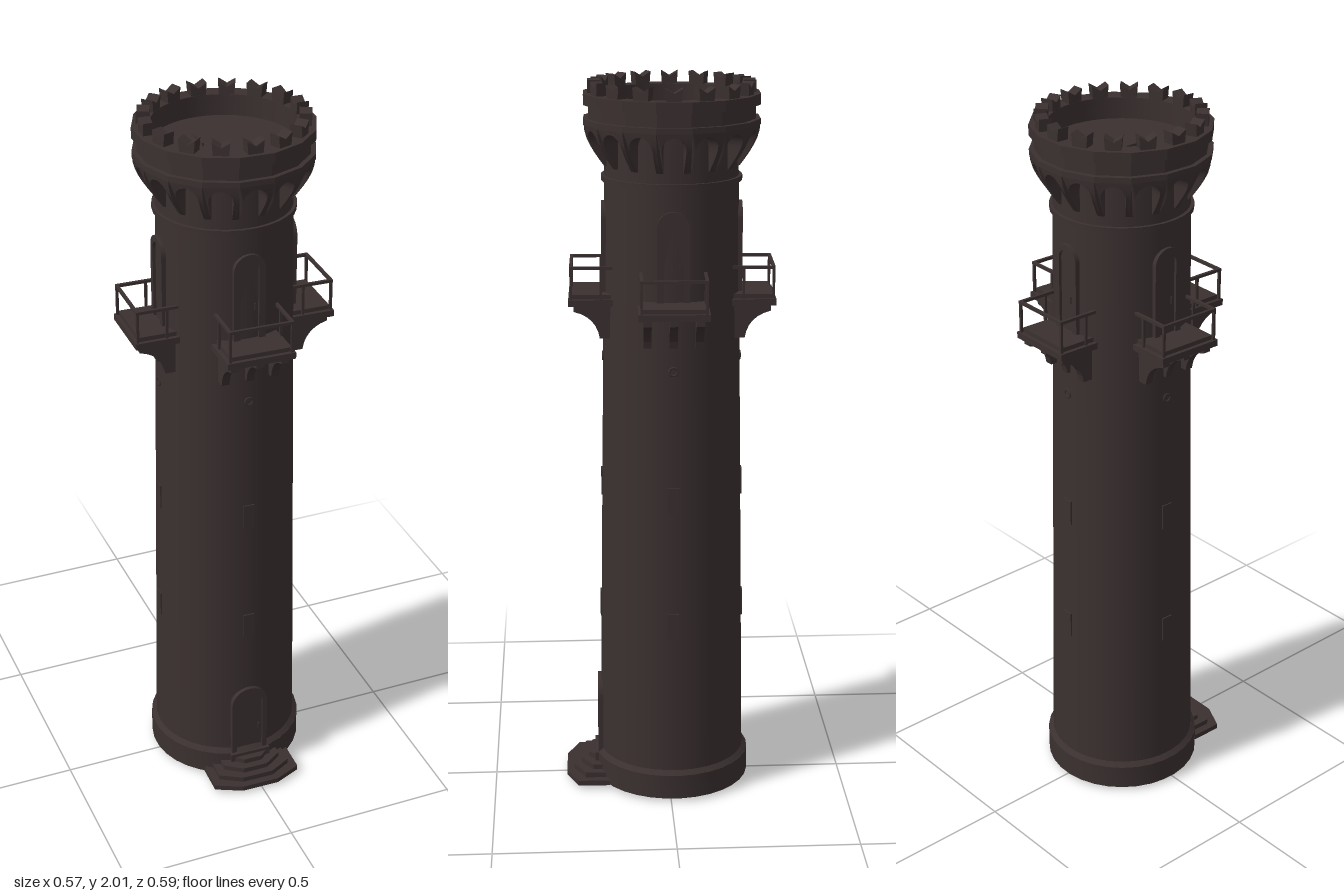
import * as THREE from 'three';
import { toCreasedNormals } from 'three/addons/utils/BufferGeometryUtils.js';

const stone = new THREE.MeshStandardMaterial({ color: 0x3b3030, side: THREE.DoubleSide });
stone.name = 'dark stone';

const SIDES = 16;
const STEP = (Math.PI * 2) / SIDES;
const shaftRadius = (y) => 0.207 - 0.0145 * y;

function add(parent, name, geometry, x = 0, y = 0, z = 0) {
  const mesh = new THREE.Mesh(geometry, stone);
  mesh.name = name;
  mesh.position.set(x, y, z);
  parent.add(mesh);
  return mesh;
}

const box = (w, h, d) => new THREE.BoxGeometry(w, h, d);

// Flat outline in x and z raised from y0 to y1
function slab(shape, y0, y1) {
  const g = new THREE.ExtrudeGeometry(shape, { depth: y1 - y0, bevelEnabled: false, curveSegments: 32 });
  return g.rotateX(Math.PI / 2).translate(0, y1, 0);
}

// Polygonal ring with a round hole; the flats face the axes
function ring(apothem, hole, y0, y1, sides = SIDES) {
  const r = apothem / Math.cos(Math.PI / sides);
  const pts = [];
  for (let i = 0; i < sides; i++) {
    const a = ((i + 0.5) / sides) * Math.PI * 2;
    pts.push(new THREE.Vector2(r * Math.cos(a), r * Math.sin(a)));
  }
  const shape = new THREE.Shape(pts);
  shape.holes.push(new THREE.Path().absarc(0, 0, hole, 0, Math.PI * 2, true));
  return toCreasedNormals(slab(shape, y0, y1), 0.3);
}

// Round-headed outline standing on y = 0
function archPath(w, h, PathType = THREE.Shape) {
  const p = new PathType();
  p.moveTo(-w / 2, 0);
  p.lineTo(w / 2, 0);
  p.lineTo(w / 2, h - w / 2);
  p.absarc(0, h - w / 2, w / 2, 0, Math.PI, false);
  p.lineTo(-w / 2, 0);
  return p;
}

// Arched frame with a door leaf set behind its front
function archedDoor(parent, name, y, w, h, rim, front) {
  const frame = archPath(w, h);
  frame.holes.push(archPath(w - rim * 2, h - rim, THREE.Path));
  const opts = { depth: 0.03, bevelEnabled: false, curveSegments: 10 };
  add(parent, name + 'Frame', new THREE.ExtrudeGeometry(frame, opts), 0, y, front - 0.03);
  const leaf = new THREE.ExtrudeGeometry(archPath(w - rim * 2, h - rim), opts);
  add(parent, name + 'Leaf', leaf, 0, y, front - 0.038);
  add(parent, name + 'Handle', box(0.004, 0.02, 0.006), w / 2 - rim - 0.01, y + h * 0.4, front - 0.006);
}

function balcony() {
  const g = new THREE.Group();
  g.name = 'balcony';
  add(g, 'balconySlab', box(0.19, 0.018, 0.13), 0, 1.411, 0.2165);
  add(g, 'balconyFloor', box(0.168, 0.012, 0.119), 0, 1.426, 0.211);
  // curved brackets
  const s = new THREE.Shape();
  s.moveTo(0.16, 1.405);
  s.lineTo(0.16, 1.31);
  s.lineTo(0.197, 1.31);
  s.quadraticCurveTo(0.205, 1.37, 0.268, 1.385);
  s.lineTo(0.268, 1.405);
  for (const x of [-0.07, 0, 0.07]) {
    const b = new THREE.ExtrudeGeometry(s, { depth: 0.022, bevelEnabled: false, curveSegments: 6 });
    b.translate(0, 0, -0.011).rotateY(-Math.PI / 2);
    add(g, 'balconyBracket', b, x);
  }
  // railing
  for (const x of [-0.086, 0.086]) {
    for (const z of [0.193, 0.274]) add(g, 'railPost', box(0.007, 0.09, 0.007), x, 1.465, z);
    add(g, 'sideRail', box(0.008, 0.008, 0.118), x, 1.506, 0.219);
  }
  add(g, 'frontRail', box(0.18, 0.008, 0.008), 0, 1.506, 0.274);
  return g;
}

// Flared crown panel with an arched recess, bent to the flare by height
function crownPanel() {
  const y0 = 1.775, y1 = 1.89, R = 0.235;
  const half = R * Math.tan(STEP / 2), leg = 0.27 * half;
  const flare = (y) => {
    const t = THREE.MathUtils.clamp((y - y0) / (y1 - y0), 0, 1);
    return 0.182 + (R - 0.182) * Math.sin((t * Math.PI) / 2);
  };
  const s = new THREE.Shape();
  const open = half - leg, spring = 1.838;
  s.moveTo(half, y0);
  for (let i = 1; i <= 6; i++) s.lineTo(half, y0 + ((y1 - y0) * i) / 6);
  for (let i = 6; i >= 0; i--) s.lineTo(-half, y0 + ((y1 - y0) * i) / 6);
  for (let i = 0; i <= 4; i++) s.lineTo(-open, y0 + ((spring - y0) * i) / 4);
  for (let i = 1; i < 8; i++) {
    const a = Math.PI * (1 - i / 8);
    s.lineTo(open * Math.cos(a), spring + 0.036 * Math.sin(a));
  }
  for (let i = 4; i >= 0; i--) s.lineTo(open, y0 + ((spring - y0) * i) / 4);
  const geo = new THREE.ExtrudeGeometry(s, { depth: 1, bevelEnabled: false });
  const p = geo.attributes.position;
  for (let i = 0; i < p.count; i++) {
    const r = p.getZ(i) > 0.5 ? flare(p.getY(i)) : 0.172;
    p.setXYZ(i, (p.getX(i) * r) / R, p.getY(i), r);
  }
  return toCreasedNormals(geo, 0.6);
}

// Battlement block with a notched top
function merlon() {
  const s = new THREE.Shape();
  s.moveTo(-0.02, 0);
  s.lineTo(0.02, 0);
  s.lineTo(0.023, 0.036);
  s.lineTo(0, 0.022);
  s.lineTo(-0.023, 0.036);
  return new THREE.ExtrudeGeometry(s, { depth: 0.033, bevelEnabled: false }).translate(0, 1.964, 0.192);
}

export function createModel() {
  const model = new THREE.Group();
  model.name = 'tower';
  const tower = new THREE.Group();
  tower.name = 'towerBody';
  tower.position.z = -0.0115;
  tower.rotation.y = -0.026;
  model.add(tower);

  // shaft and plinth
  add(tower, 'shaft', new THREE.CylinderGeometry(shaftRadius(1.9), shaftRadius(0), 1.9, 48, 1, true), 0, 0.95, 0);
  add(tower, 'plinth', ring(0.219, 0.2, 0, 0.07, 32));
  add(tower, 'plinthBevel', new THREE.CylinderGeometry(0.206, 0.219, 0.012, 32, 1, true), 0, 0.076, 0);
  add(tower, 'stringCourse', ring(0.19, 0.175, 1.733, 1.747, 32));

  // crown
  add(tower, 'crownLedge', ring(0.236, 0.175, 1.885, 1.9));
  add(tower, 'parapet', ring(0.223, 0.192, 1.9, 1.94));
  add(tower, 'cornice', ring(0.236, 0.192, 1.937, 1.966));
  add(tower, 'roofFloor', new THREE.CylinderGeometry(0.2, 0.2, 0.012, 32), 0, 1.902, 0);
  const panel = crownPanel(), block = merlon();
  for (let i = 0; i < SIDES; i++) {
    add(tower, 'crownArch', panel).rotation.y = i * STEP;
    add(tower, 'merlon', block).rotation.y = i * STEP;
  }

  // roof hatch
  add(tower, 'hatch', box(0.075, 0.012, 0.165), -0.092, 1.912, -0.008);
  add(tower, 'hatchHandle', box(0.005, 0.01, 0.065), -0.066, 1.922, -0.008);

  // openings and balconies on the four sides
  for (let i = 0; i < 4; i++) {
    const side = new THREE.Group();
    side.name = 'towerSide';
    side.rotation.y = (i * Math.PI) / 2;
    tower.add(side);
    side.add(balcony());
    archedDoor(side, 'balconyDoor', 1.42, 0.088, 0.255, 0.018, shaftRadius(1.5) + 0.006);
    for (const y of [0.515, 0.88]) {
      add(side, 'slitWindow', box(0.032, 0.074, 0.02), 0, y, shaftRadius(y) - 0.007);
    }
    const port = new THREE.TorusGeometry(0.011, 0.003, 6, 16);
    add(side, 'roundVent', port, 0, 1.243, shaftRadius(1.243));
  }

  // entrance
  archedDoor(tower, 'entrance', 0.05, 0.108, 0.245, 0.014, shaftRadius(0.15) + 0.008);
  add(tower, 'entranceBase', box(0.12, 0.08, 0.02), 0, 0.03, 0.212);
  for (let i = 0; i < 4; i++) {
    const w = 0.13 - i * 0.022, z = 0.304 - i * 0.021;
    const pts = [[-w, 0.18], [w, 0.18], [w, z - 0.034], [w * 0.42, z], [-w * 0.42, z], [-w, z - 0.034]];
    const s = new THREE.Shape(pts.map(([x, y]) => new THREE.Vector2(x, y)));
    add(tower, 'entranceStep', slab(s, i * 0.015, (i + 1) * 0.015));
  }
  return model;
}
